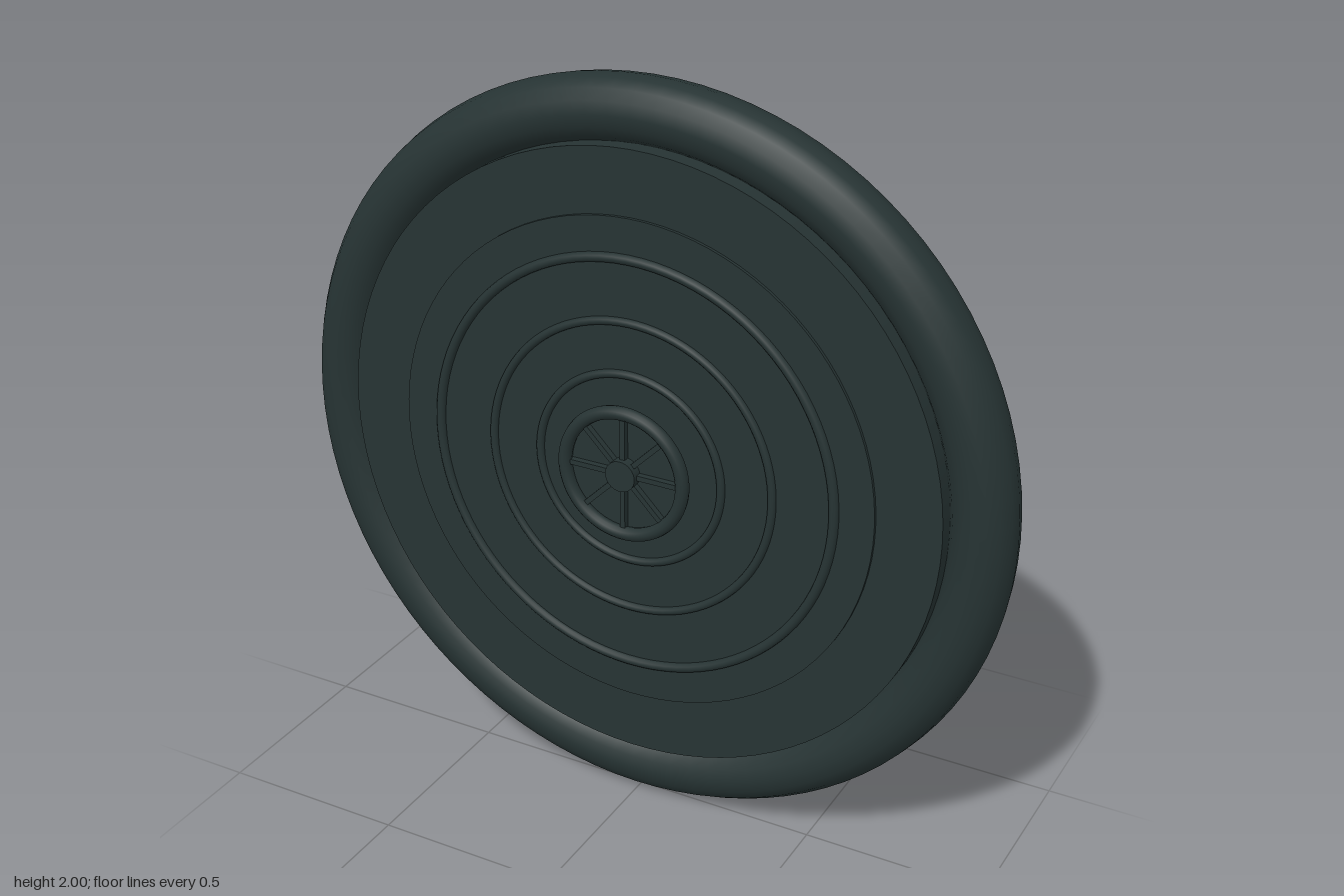
import * as THREE from 'three';

export function createModel() {
  const model = new THREE.Group();
  const darkGreen = new THREE.MeshStandardMaterial({ color: 0x263333 });
  darkGreen.name = 'darkGreen';

  // everything is built around the disc axis, then lifted to stand on its rim
  const disc = new THREE.Group();
  disc.name = 'disc';
  disc.position.y = 1;
  model.add(disc);

  const add = (name, geometry, z) => {
    const mesh = new THREE.Mesh(geometry, darkGreen);
    mesh.name = name;
    mesh.position.z = z;
    disc.add(mesh);
    return mesh;
  };
  const plate = (name, radius, back, front, sides = 96) =>
    add(name, new THREE.CylinderGeometry(radius, radius, front - back, sides).rotateX(Math.PI / 2), (front + back) / 2);
  const ring = (name, radius, tube, z, tubeSides = 12) =>
    add(name, new THREE.TorusGeometry(radius, tube, tubeSides, 96), z);

  // rounded outer rim
  ring('rim', 0.915, 0.085, -0.025, 16);

  // stacked plates, flush on front and back
  plate('mainPlate', 0.84, -0.107, 0.057);
  plate('innerPlate', 0.67, -0.116, 0.066);

  // raised concentric rings
  ring('outerRing', 0.565, 0.013, 0.067);
  ring('middleRing', 0.4, 0.011, 0.067);
  ring('smallRing', 0.26, 0.011, 0.067);

  // hub: thick ring, base, spokes and cap
  ring('hubRing', 0.168, 0.018, 0.098);
  plate('hubBase', 0.165, 0.06, 0.086, 64);
  for (let i = 0; i < 8; i++) {
    const spoke = add('hubSpoke', new THREE.BoxGeometry(0.12, 0.014, 0.018).translate(0.095, 0, 0), 0.094);
    spoke.rotation.z = (i * Math.PI) / 4;
  }
  plate('hubCap', 0.042, 0.08, 0.116, 32);

  return model;
}
